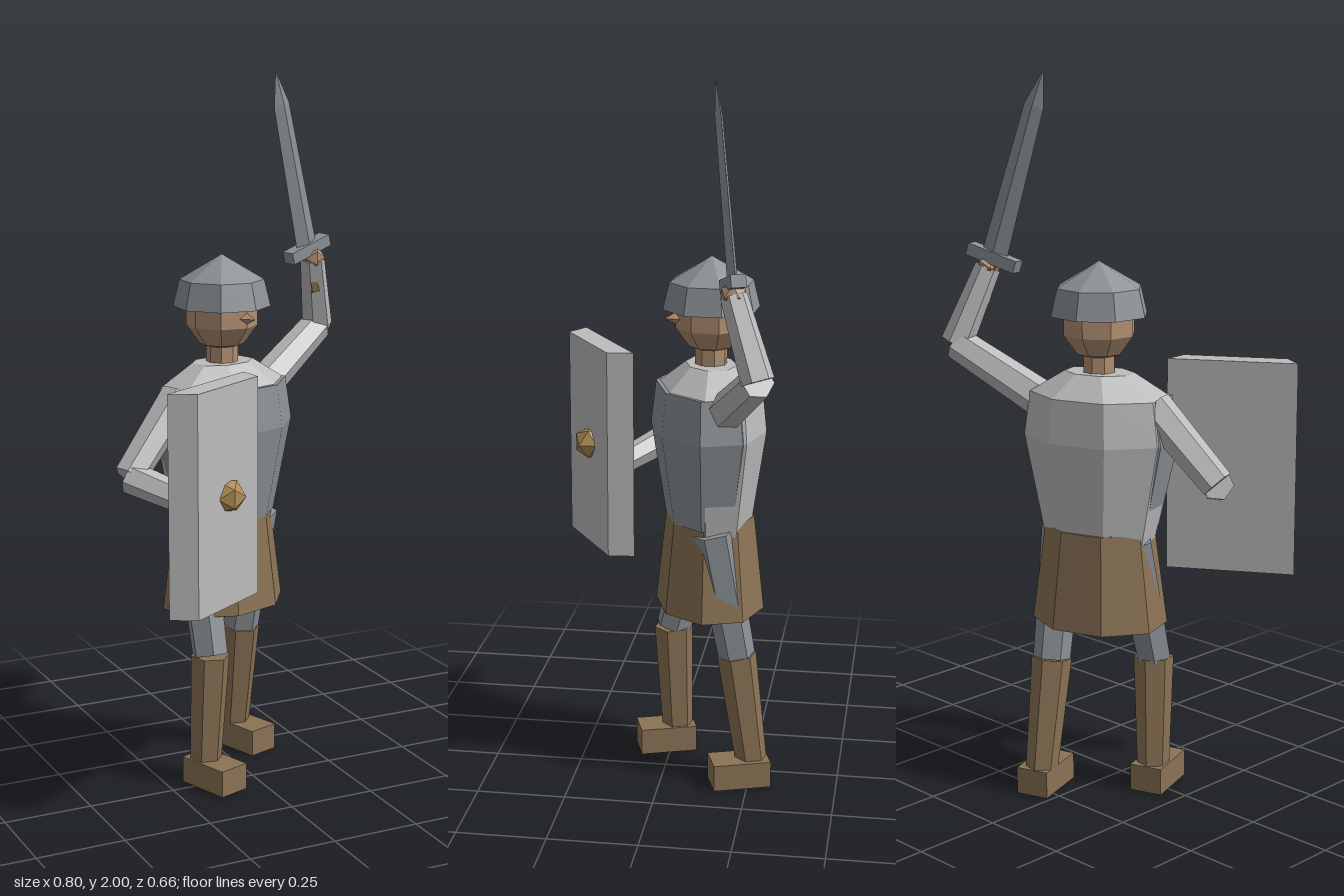
import * as THREE from 'three';

const paint = (name, color) => {
  const m = new THREE.MeshStandardMaterial({ color });
  m.name = name;
  return m;
};

export function createModel() {
  const model = new THREE.Group();
  model.name = 'soldier';
  const steel = paint('steel', 0x8c9297);
  const silver = paint('silver', 0xbcbcbc);
  const leather = paint('leather', 0x8b7355);
  const skin = paint('skin', 0xb18f72);
  const brass = paint('brass', 0xb08d57);

  const YAW = 0.324; // the whole body is turned towards its left
  const body = new THREE.Group();
  body.name = 'body';
  body.position.set(-0.035, 0, -0.122);
  body.rotation.y = YAW;
  model.add(body);

  // Faceted mesh with one normal per face
  const add = (parent, name, geo, mat, x = 0, y = 0, z = 0) => {
    const flat = geo.index ? geo.toNonIndexed() : geo;
    flat.computeVertexNormals();
    const mesh = new THREE.Mesh(flat, mat);
    mesh.name = name;
    mesh.position.set(x, y, z);
    parent.add(mesh);
    return mesh;
  };

  // Turned shape with few sides, flattened front to back; profile runs upwards
  const turned = (profile, sides, depth, phase = 0) =>
    new THREE.LatheGeometry(profile.map(p => new THREE.Vector2(...p)), sides, phase).scale(1, 1, depth);

  // Tapered six-sided limb between two points
  const limb = (name, mat, a, b, ra, rb) => {
    const A = new THREE.Vector3(...a), B = new THREE.Vector3(...b);
    const dir = B.clone().sub(A);
    const geo = new THREE.CylinderGeometry(rb, ra, dir.length(), 6).rotateY(YAW);
    const mesh = add(model, name, geo, mat);
    mesh.position.copy(A).add(B).multiplyScalar(0.5);
    mesh.quaternion.setFromUnitVectors(new THREE.Vector3(0, 1, 0), dir.normalize());
    return mesh;
  };

  // Torso: mail shirt, breastplate and skirt
  const eighth = Math.PI / 8;
  add(body, 'mailShirt', turned([[0, 0.74], [0.16, 0.74], [0.217, 1.02], [0.2, 1.14], [0.1, 1.2], [0, 1.2]], 8, 0.7, eighth), silver);
  add(body, 'breastplate', turned([[0, 0.76], [0.162, 0.76], [0.222, 1.02], [0.202, 1.14], [0, 1.14]], 8, 0.69, eighth), steel, 0, 0, 0.012);
  add(body, 'skirt', turned([[0, 0.5], [0.193, 0.5], [0.156, 0.77], [0, 0.77]], 8, 0.79, eighth), leather);

  // Head and helmet
  add(body, 'neck', new THREE.CylinderGeometry(0.045, 0.045, 0.1, 8), skin, 0, 1.225, 0);
  add(body, 'head', new THREE.SphereGeometry(0.105, 8, 5), skin, 0, 1.335, 0);
  const nose = add(body, 'nose', new THREE.ConeGeometry(0.02, 0.04, 4), skin, 0, 1.33, 0.112);
  nose.rotation.x = Math.PI / 2;
  add(body, 'helmet', turned([[0, 1.355], [0.136, 1.355], [0.118, 1.43], [0, 1.5]], 8, 1), steel);

  // Legs and feet
  const legs = [
    { side: 'right', hip: [-0.135, 0.74, -0.1], knee: [-0.13, 0.385, -0.005], ankle: [-0.14, 0.06, -0.016], foot: [-0.128, 0.016] },
    { side: 'left', hip: [0.085, 0.75, -0.145], knee: [0.066, 0.385, -0.212], ankle: [0.064, 0.06, -0.257], foot: [0.0825, -0.224] },
  ];
  for (const { side, hip, knee, ankle, foot } of legs) {
    limb(side + 'Thigh', steel, hip, knee, 0.06, 0.052);
    limb(side + 'Greave', leather, ankle, knee, 0.045, 0.056);
    const boot = add(model, side + 'Foot', new THREE.BoxGeometry(0.094, 0.076, 0.164), leather, foot[0], 0.038, foot[1]);
    boot.rotation.y = YAW;
  }

  // Arms and hands
  const arms = [
    { side: 'right', shoulder: [-0.19, 1.12, -0.075], elbow: [-0.365, 0.925, -0.01], wrist: [-0.2, 0.85, 0.165] },
    { side: 'left', shoulder: [0.13, 1.11, -0.185], elbow: [0.355, 1.25, -0.29], wrist: [0.3, 1.46, -0.22] },
  ];
  for (const { side, shoulder, elbow, wrist } of arms) {
    limb(side + 'UpperArm', silver, shoulder, elbow, 0.052, 0.045);
    limb(side + 'Forearm', silver, elbow, wrist, 0.045, 0.036);
    add(model, side + 'Hand', new THREE.IcosahedronGeometry(0.037, 0), skin, ...wrist);
  }

  // Raised sword
  const sword = new THREE.Group();
  sword.name = 'sword';
  sword.position.set(0.28, 1.487, -0.215);
  sword.rotation.set(0.036, YAW, 0.285, 'YXZ');
  model.add(sword);
  add(sword, 'blade', turned([[0.04, 0], [0.03, 0.43], [0, 0.53]], 4, 0.35), steel);
  add(sword, 'guard', new THREE.BoxGeometry(0.155, 0.034, 0.04), steel);
  add(sword, 'grip', new THREE.CylinderGeometry(0.02, 0.02, 0.12, 6), leather, 0, -0.07, 0);

  // Shield: slab with slanted sides, plus a round boss
  const outline = [[-0.384, 0.294], [-0.317, 0.332], [-0.07, 0.177], [-0.076, 0.102]];
  const shape = new THREE.Shape(outline.map(([x, z]) => new THREE.Vector2(x, -z)));
  const slab = new THREE.ExtrudeGeometry(shape, { depth: 0.6, bevelEnabled: false }).rotateX(-Math.PI / 2);
  add(model, 'shield', slab, silver, 0, 0.61, 0);
  add(model, 'shieldBoss', new THREE.IcosahedronGeometry(0.048, 0), brass, -0.193, 0.912, 0.25);

  return model;
}
